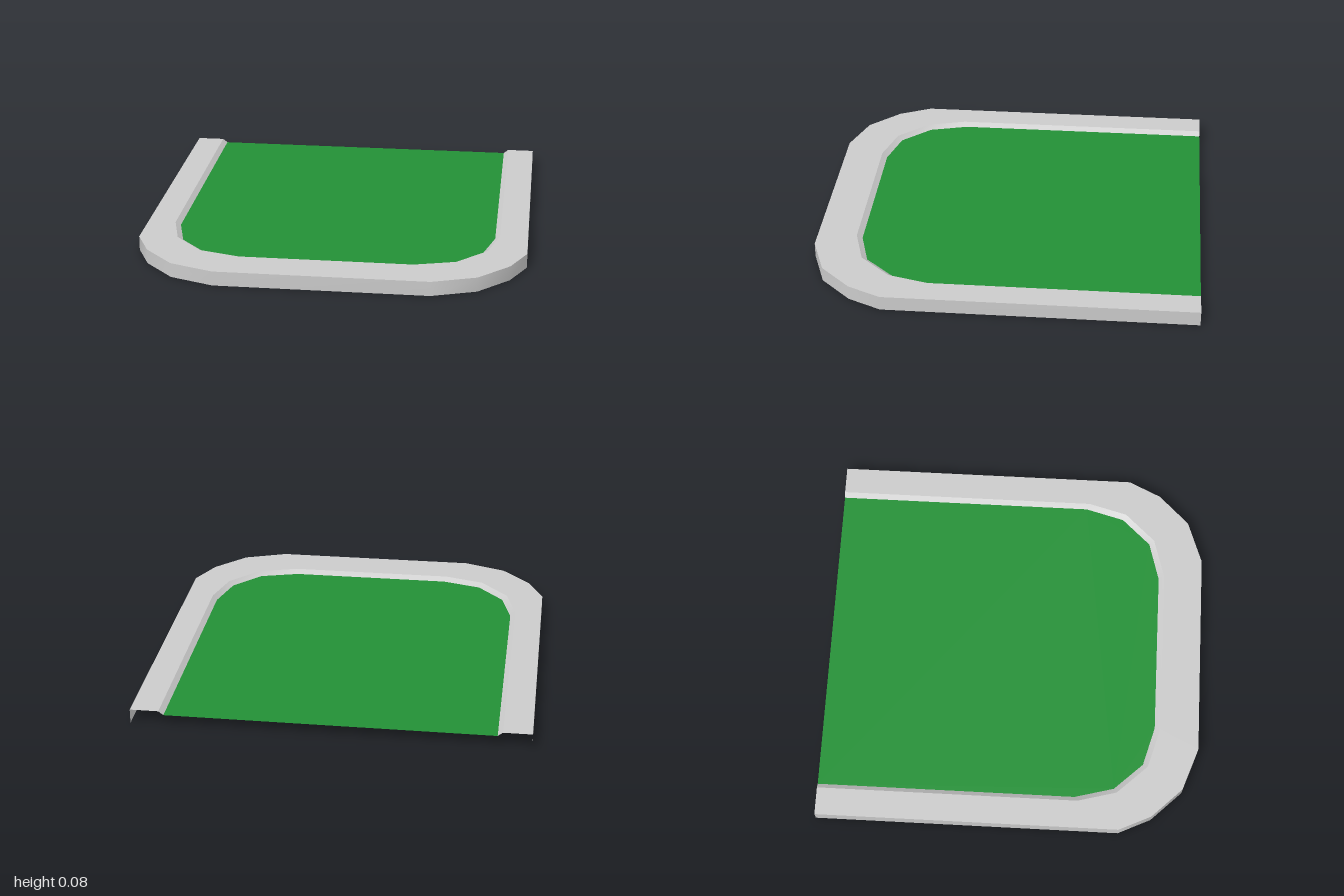
import * as THREE from 'three';

const grey = new THREE.MeshStandardMaterial({ color: 0xcbcbcb, side: THREE.DoubleSide });
grey.name = 'light grey rim';
const green = new THREE.MeshStandardMaterial({ color: 0x239036, side: THREE.DoubleSide });
green.name = 'green turf';

// Right half of each outline as [x, z], from the open back to the front
const OUTER = [[1, -1], [1, 0.59], [0.92, 0.76], [0.765, 0.92], [0.54, 1]];
const LIP = [[0.855, -1], [0.855, 0.37], [0.8, 0.575], [0.65, 0.735], [0.44, 0.795]];
const INNER = [[0.83, -1], [0.83, 0.355], [0.775, 0.56], [0.635, 0.71], [0.43, 0.767]];

const TOP = 0.075;
const FLOOR = 0.055;

// Mirror a half outline into the full U
function mirrored(half) {
  return [...half, ...half.map(([x, z]) => [-x, z]).reverse()];
}

// Band of quads between two outlines at given heights
function band(name, halfA, yA, halfB, yB) {
  const a = mirrored(halfA), b = mirrored(halfB);
  const positions = [], index = [];
  a.forEach(([x, z], i) => {
    positions.push(x, yA, z, b[i][0], yB, b[i][1]);
    if (i < a.length - 1) {
      const k = 2 * i;
      index.push(k, k + 1, k + 2, k + 1, k + 3, k + 2);
    }
  });
  const geometry = new THREE.BufferGeometry();
  geometry.setAttribute('position', new THREE.Float32BufferAttribute(positions, 3));
  geometry.setIndex(index);
  geometry.computeVertexNormals();
  const mesh = new THREE.Mesh(geometry, grey);
  mesh.name = name;
  return mesh;
}

export function createModel() {
  const group = new THREE.Group();
  group.name = 'roundedFieldEnd';

  // Raised border: outer wall, flat top and sloped inner edge
  group.add(band('outerWall', OUTER, 0, OUTER, TOP));
  group.add(band('rimTop', OUTER, TOP, LIP, TOP));
  group.add(band('innerBevel', LIP, TOP, INNER, FLOOR));

  // Sunken green surface
  const shape = new THREE.Shape(mirrored(INNER).map(([x, z]) => new THREE.Vector2(x, -z)));
  const turf = new THREE.Mesh(new THREE.ShapeGeometry(shape).rotateX(-Math.PI / 2), green);
  turf.name = 'turf';
  turf.position.y = FLOOR;
  group.add(turf);

  return group;
}
